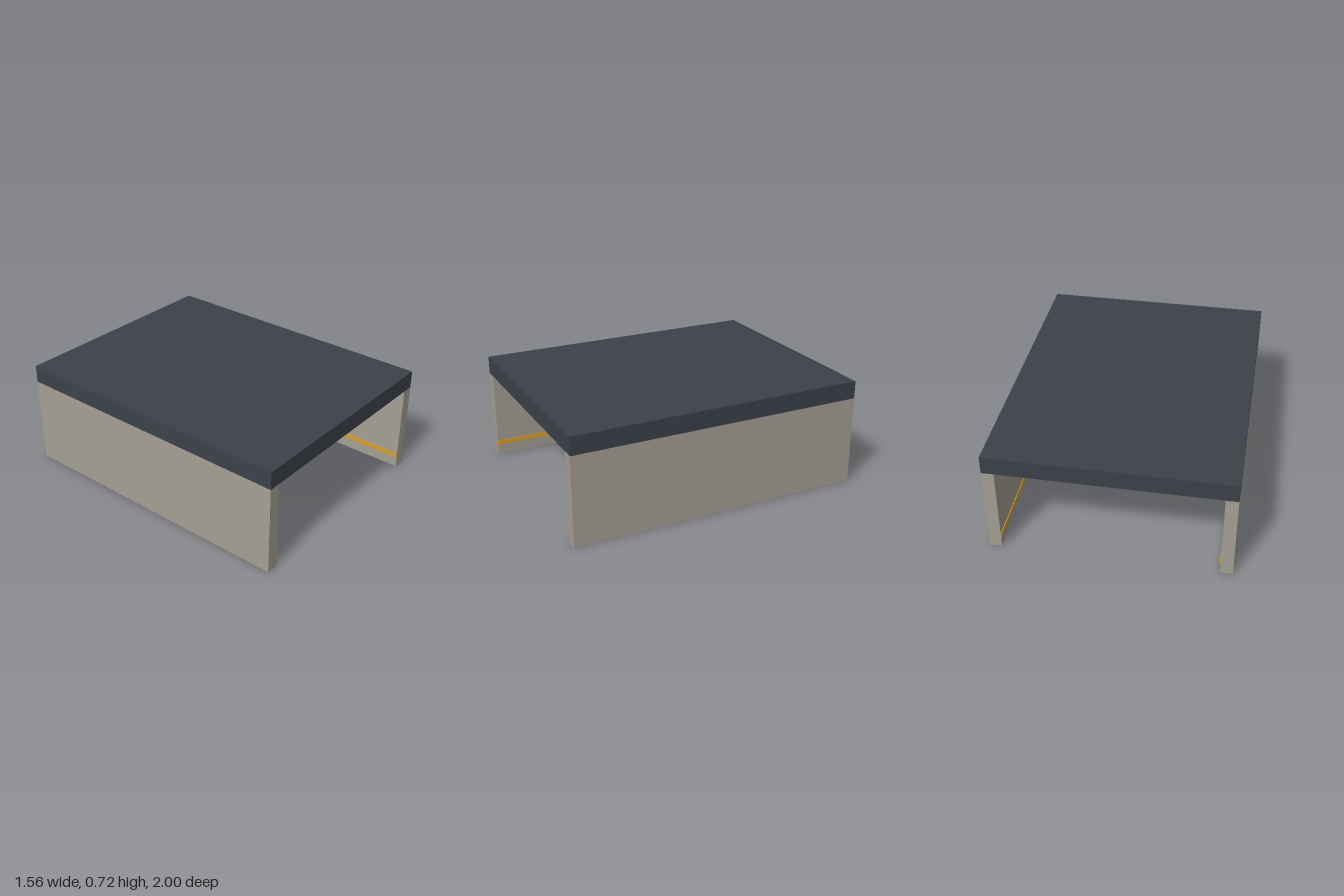
import * as THREE from 'three';

const material = (name, color) => {
  const m = new THREE.MeshStandardMaterial({ color });
  m.name = name;
  return m;
};

export function createModel() {
  const slate = material('slate roof', 0x3c4149);
  const concrete = material('warm concrete', 0xa59f93);
  const amber = material('amber stripe', 0xd9a026);

  const model = new THREE.Group();
  model.name = 'tunnelSection';

  // Box given by its minimum and maximum corners
  const box = (name, mat, [x0, y0, z0], [x1, y1, z1]) => {
    const mesh = new THREE.Mesh(new THREE.BoxGeometry(x1 - x0, y1 - y0, z1 - z0), mat);
    mesh.position.set((x0 + x1) / 2, (y0 + y1) / 2, (z0 + z1) / 2);
    mesh.name = name;
    model.add(mesh);
  };

  // Roof slab
  box('roof', slate, [-0.78, 0.6, -1], [0.78, 0.72, 1]);

  // Cross beams under the roof
  for (const z of [-0.695, 0.695]) {
    box('ceilingBeam', concrete, [-0.7, 0.55, z - 0.055], [0.7, 0.6, z + 0.055]);
  }

  for (const side of [-1, 1]) {
    const label = side > 0 ? 'left' : 'right';
    // Mirrored span in x, from inner to outer distance
    const part = (name, mat, inner, outer, y0, y1, z0, z1) => {
      const xs = [side * inner, side * outer].sort((a, b) => a - b);
      box(label + name, mat, [xs[0], y0, z0], [xs[1], y1, z1]);
    };
    // Side wall
    part('Wall', concrete, 0.7, 0.78, 0, 0.6, -1, 1);
    // Guide stripe low on the inner face
    part('Stripe', amber, 0.695, 0.7, 0.075, 0.105, -1, 1);
    // Wall fixtures near the ceiling
    for (const z of [-0.6, 0, 0.6]) {
      part('Fixture', concrete, 0.69, 0.7, 0.51, 0.535, z - 0.11, z + 0.11);
    }
  }
  return model;
}
